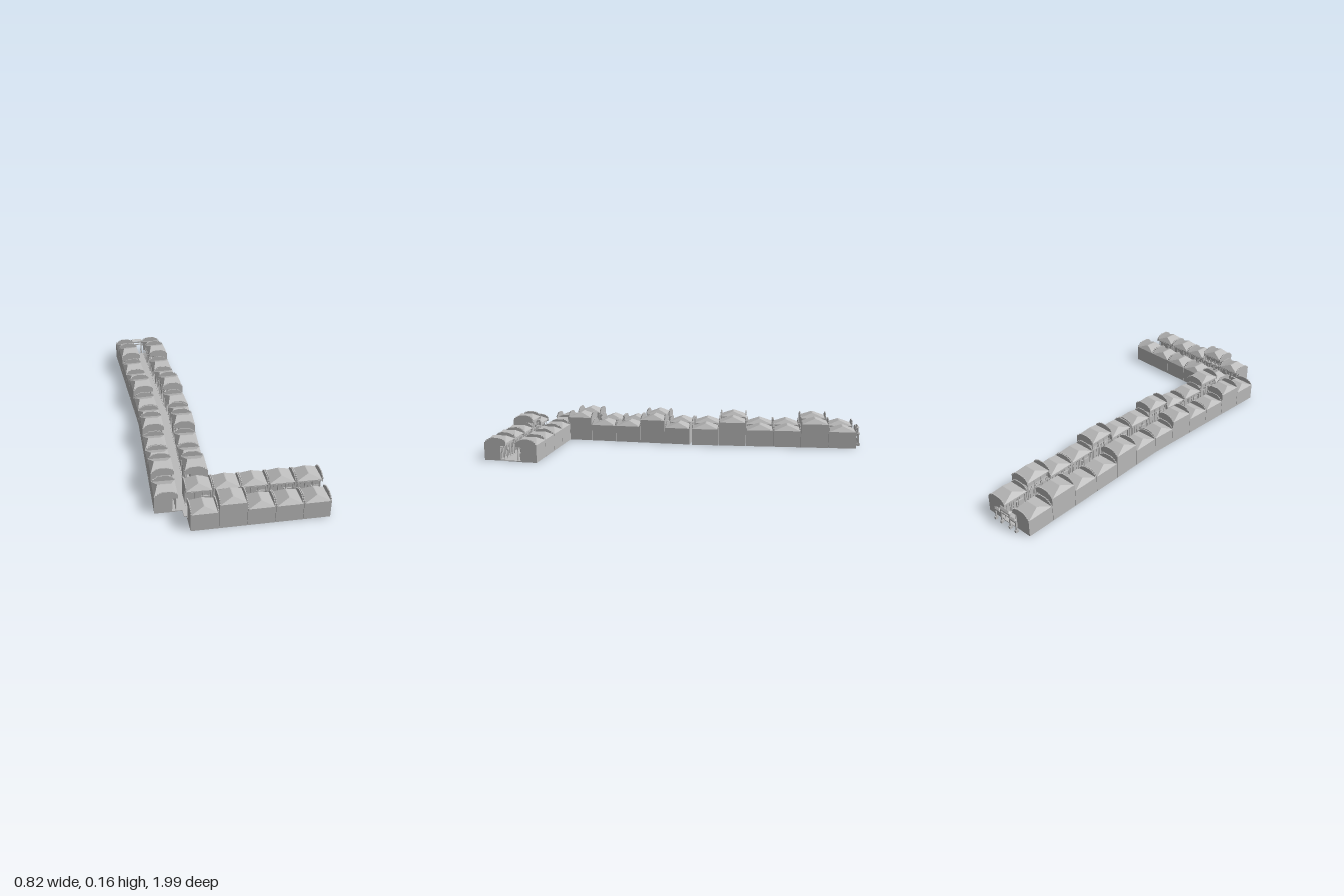
import * as THREE from 'three';

const stone = new THREE.MeshStandardMaterial({ color: 0xbcbcbc });
stone.name = 'grey stone';

const DEPTH = 0.112; // roof depth, outer wall to street
const BODY = 0.084; // depth of the closed rooms

function add(parent, name, geometry, x = 0, y = 0, z = 0) {
  const mesh = new THREE.Mesh(geometry, stone);
  mesh.name = name;
  mesh.position.set(x, y, z);
  parent.add(mesh);
  return mesh;
}
// Box given by its minimum corner and size
function block(parent, name, x, y, z, w, h, d) {
  return add(parent, name, new THREE.BoxGeometry(w, h, d), x + w / 2, y + h / 2, z + d / 2);
}

// Hipped roof with a short ridge running across the house
function hipRoof(w, h, d, ridgeX, ridgeZ) {
  const g = new THREE.BoxGeometry(w, h, d).toNonIndexed();
  const p = g.attributes.position;
  for (let i = 0; i < p.count; i++) {
    if (p.getY(i) > 0) {
      p.setX(i, p.getX(i) * ridgeX);
      p.setZ(i, p.getZ(i) * ridgeZ);
    }
  }
  g.computeVertexNormals();
  return g;
}

// Stepped, arched fire wall that rises above the roof at each house end
function fireWall(rise) {
  const steps = [[0, 0.12], [0.05, 0.42], [0.13, 0.68], [0.22, 0.88], [0.32, 1]];
  const s = new THREE.Shape();
  s.moveTo(0, -0.012);
  steps.forEach(([x, y]) => {
    s.lineTo(x * DEPTH, s.currentPoint.y);
    s.lineTo(x * DEPTH, y * rise);
  });
  [...steps].reverse().forEach(([x, y]) => {
    s.lineTo((1 - x) * DEPTH, s.currentPoint.y);
    s.lineTo((1 - x) * DEPTH, y * rise);
    s.lineTo((1 - x) * DEPTH, y * rise - 0.002);
  });
  s.lineTo(DEPTH, -0.012);
  return new THREE.ExtrudeGeometry(s, { depth: 0.005, bevelEnabled: false });
}

// House: x runs from outer wall to street, z along the street
function house(length, tall) {
  const g = new THREE.Group();
  g.name = tall ? 'tallHouse' : 'lowHouse';
  const h = tall ? 0.127 : 0.088;
  const l = length - 0.002;
  block(g, 'rooms', 0, 0, 0, BODY, h, l);
  block(g, 'porchFloor', BODY, 0, 0, DEPTH - BODY - 0.004, 0.006, l);
  block(g, 'eaves', 0, h - 0.003, 0.002, DEPTH, 0.003, l - 0.004);
  add(g, 'roof', hipRoof(DEPTH, 0.027, l - 0.004, 0.6, 0.03), DEPTH / 2, h + 0.0135, length / 2);
  const wall = fireWall(0.028);
  for (const z of [0, l - 0.005]) add(g, 'fireWall', wall, 0, h, z);

  // Shop front with posts, counter, lintel and door panels
  for (let i = 0; i < 4; i++) {
    const z = 0.01 + i * (l - 0.02) / 3;
    add(g, 'post', new THREE.CylinderGeometry(0.0025, 0.0025, h - 0.006, 8), DEPTH - 0.01, h / 2 + 0.003, z);
    if (i === 3) continue;
    const bay = (l - 0.02) / 3;
    for (let k = 0; k < 2; k++) {
      block(g, 'doorPanel', BODY, 0.008, z + 0.004 + k * bay / 2, 0.003, 0.052, bay / 2 - 0.006);
    }
  }
  block(g, 'lintel', DEPTH - 0.012, h - 0.016, 0.01, 0.004, 0.006, l - 0.02);
  block(g, 'counter', BODY, 0.006, 0.012, 0.01, 0.036, l * 0.3);
  block(g, 'doorHead', BODY, 0.064, 0.004, 0.006, 0.004, l - 0.008);
  if (tall) {
    block(g, 'balconyFloor', BODY, 0.074, 0.004, DEPTH - BODY - 0.008, 0.004, l - 0.008);
    block(g, 'balconyRail', DEPTH - 0.011, 0.092, 0.01, 0.003, 0.003, l - 0.02);
    for (let i = 0; i < 12; i++) {
      block(g, 'baluster', DEPTH - 0.0105, 0.078, 0.012 + i * (l - 0.026) / 11, 0.002, 0.014, 0.002);
    }
  }
  return g;
}

// Row of houses along an outer wall line; the street lies on its local +x side
function row(parent, name, x0, z0, x1, z1, pattern) {
  const g = new THREE.Group();
  g.name = name;
  g.position.set(x0, 0, z0);
  g.rotation.y = Math.atan2(x1 - x0, z1 - z0);
  const pitch = Math.hypot(x1 - x0, z1 - z0) / pattern.length;
  [...pattern].forEach((c, i) => {
    const unit = house(pitch, c === 'T');
    unit.position.z = i * pitch;
    g.add(unit);
  });
  parent.add(g);
}

function road(parent, x0, z0, x1, z1, width) {
  const length = Math.hypot(x1 - x0, z1 - z0);
  const m = add(parent, 'road', new THREE.BoxGeometry(width, 0.004, length), (x0 + x1) / 2, 0.002, (z0 + z1) / 2);
  m.rotation.y = Math.atan2(x1 - x0, z1 - z0);
}

// Four-post gateway with three small roofs
function gateway() {
  const g = new THREE.Group();
  g.name = 'gateway';
  for (const s of [-1, 1]) {
    for (const [x, h] of [[0.03, 0.092], [0.072, 0.07]]) {
      block(g, 'gatePost', s * x - 0.003, 0, -0.003, 0.006, h, 0.006);
      block(g, 'postBase', s * x - 0.005, 0, -0.008, 0.01, 0.014, 0.016);
    }
    block(g, 'sideBeam', s * 0.051 - 0.021, 0.052, -0.002, 0.042, 0.008, 0.004);
    add(g, 'sideRoof', hipRoof(0.034, 0.008, 0.016, 0.7, 0.1), s * 0.054, 0.072, 0);
  }
  block(g, 'lowerBeam', -0.03, 0.06, -0.002, 0.06, 0.006, 0.004);
  block(g, 'upperBeam', -0.03, 0.074, -0.002, 0.06, 0.01, 0.004);
  add(g, 'gateRoof', hipRoof(0.07, 0.01, 0.018, 0.75, 0.1), 0, 0.096, 0);
  return g;
}

export function createModel() {
  const model = new THREE.Group();
  model.name = 'oldStreet';

  // Long street, bending slightly halfway
  row(model, 'westRowBack', -0.12, -0.98, -0.242, -0.104, 'LTLLTL');
  row(model, 'westRowFront', -0.242, -0.104, -0.413, 0.69, 'LTLLTL');
  row(model, 'eastRowBack', 0.04, -0.068, 0.16, -0.945, 'LTLLTL');
  row(model, 'eastRowFront', -0.12, 0.622, 0.035, -0.058, 'TLLTL');
  // Short street across the end
  row(model, 'crossRowFront', -0.3, 0.865, 0.342, 0.99, 'LTLLL');
  row(model, 'crossRowBack', 0.41, 0.717, -0.24, 0.585, 'LLLLL');

  road(model, 0.02, -0.965, -0.1, -0.085, 0.075);
  road(model, -0.098, -0.1, -0.275, 0.715, 0.075);
  road(model, -0.285, 0.722, 0.375, 0.852, 0.075);

  const gate = gateway();
  gate.position.set(0.02, 0, -0.982);
  gate.rotation.y = -0.138;
  model.add(gate);
  return model;
}
